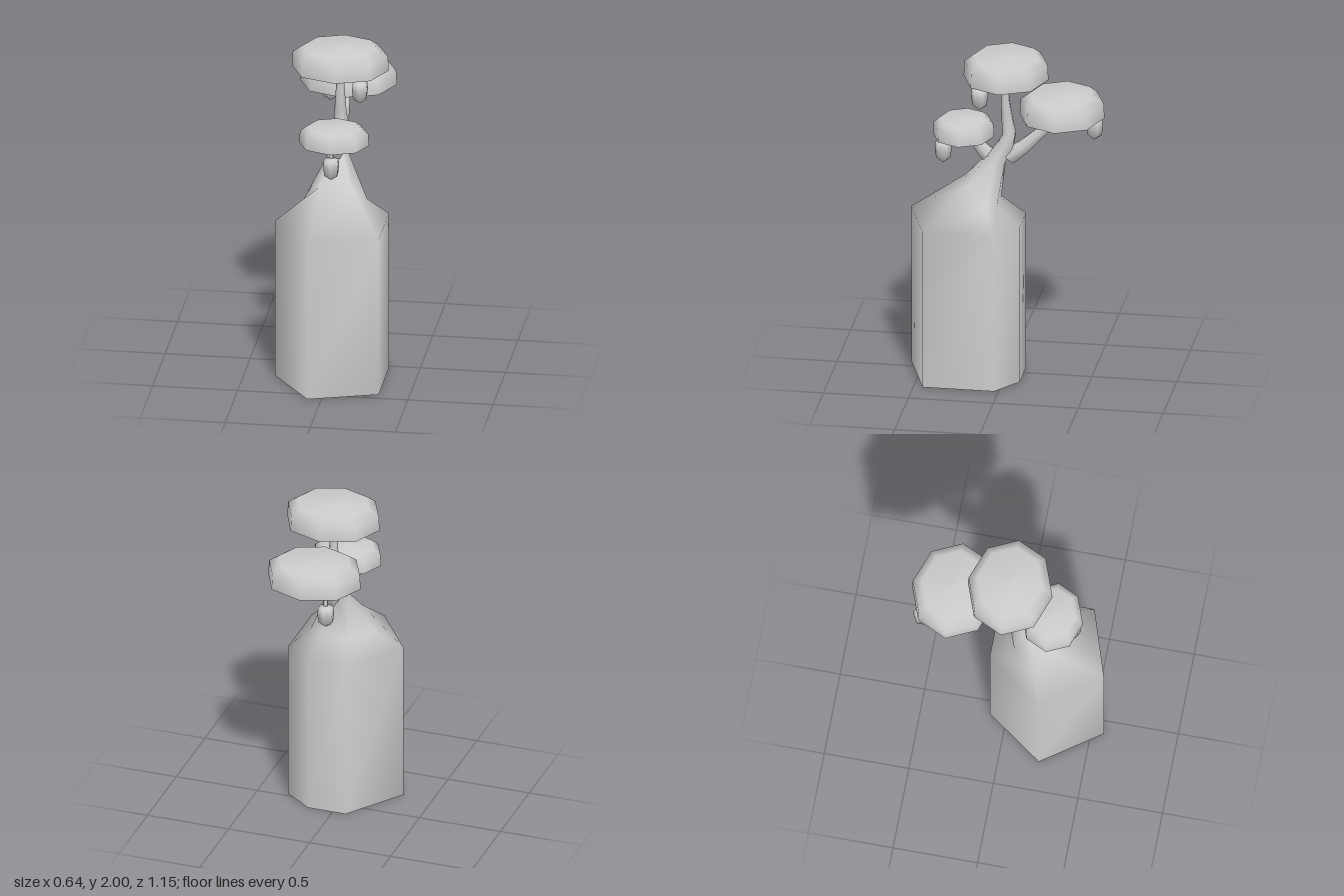
import * as THREE from 'three';

const material = new THREE.MeshStandardMaterial({ color: 0xcccccc, side: THREE.DoubleSide });

function addMesh(parent, geometry, name) {
  const mesh = new THREE.Mesh(geometry, material);
  mesh.name = name;
  parent.add(mesh);
  return mesh;
}

// Smooth skin through rings of equal point count, ordered counterclockwise from below
function loft(rings) {
  const n = rings[0].length;
  const index = [];
  for (let r = 0; r < rings.length - 1; r++) {
    for (let i = 0; i < n; i++) {
      const a = r * n + i, b = r * n + (i + 1) % n;
      index.push(a, b, b + n, a, b + n, a + n);
    }
  }
  const geometry = new THREE.BufferGeometry();
  geometry.setAttribute('position', new THREE.Float32BufferAttribute(rings.flat(2), 3));
  geometry.setIndex(index);
  geometry.computeVertexNormals();
  return geometry;
}

// Six-sided ring, lowered at the back by tilt
function ring(y, z, r, tilt = 0) {
  return Array.from({ length: 6 }, (_, i) => {
    const a = Math.PI + i * Math.PI / 3;
    const dz = -Math.sin(a) * r;
    return [0.03 + Math.cos(a) * r, y + dz * tilt, z + dz];
  });
}

// Tapering branch: points are [y, z, radius] in the middle plane
function branch(points, tilt) {
  return loft(points.map(([y, z, r]) => ring(y, z, r, tilt)));
}

// Low dome with eight sides, open underneath
function crown(parent, [x, y, z], rx, rz, h, name) {
  const profile = [[1, 0], [0.98, 0.62], [0.77, 0.9], [0, 1]].map(p => new THREE.Vector2(...p));
  const mesh = addMesh(parent, new THREE.LatheGeometry(profile, 8), name);
  mesh.scale.set(rx, h, rz);
  mesh.position.set(x, y, z);
}

// Lantern with pointed base hanging from a short rod; y is the underside of the crown
function lantern(parent, x, y, z, rodLength, name) {
  const group = new THREE.Group();
  group.name = name;
  group.position.set(x, y, z);
  const rod = addMesh(group, new THREE.CylinderGeometry(0.013, 0.013, rodLength + 0.04, 6), 'rod');
  rod.position.y = 0.02 - rodLength / 2;
  const profile = [[0, -0.14], [0.043, -0.108], [0.05, -0.05], [0.046, -0.012], [0, 0]]
    .map(p => new THREE.Vector2(...p));
  const body = addMesh(group, new THREE.LatheGeometry(profile, 6), 'lanternBody');
  body.position.y = -rodLength;
  parent.add(group);
}

export function createModel() {
  const model = new THREE.Group();
  model.name = 'lanternTree';

  // Broad six-cornered base narrowing into the leaning trunk
  const plan = [[-0.32, 0.235], [-0.08, 0.575], [0.32, 0.445], [0.32, 0.025], [0.15, -0.1], [-0.08, -0.1]];
  const baseRing = y => plan.map(([x, z]) => [x, y, z]);
  const shoulder = [
    [-0.165, 1.08, 0.18], [-0.06, 1.2, 0.25], [0.13, 1.19, 0.23],
    [0.2, 1.08, 0.09], [0.12, 1.08, 0.04], [-0.05, 1.08, 0.04],
  ];
  addMesh(model, loft([
    baseRing(0), baseRing(0.97), shoulder,
    ring(1.34, 0.06, 0.062, 0.4), ring(1.44, 0, 0.05, 0.3), ring(1.51, -0.02, 0.042),
    ring(1.6, -0.006, 0.035), ring(1.72, 0.005, 0.026), ring(1.88, -0.003, 0.018),
  ]), 'trunk');

  // Side branches
  addMesh(model, branch([[1.36, -0.01, 0.04], [1.425, -0.1, 0.032], [1.52, -0.2, 0.025], [1.65, -0.34, 0.014]], 1), 'backBranch');
  addMesh(model, branch([[1.33, 0.06, 0.04], [1.4, 0.14, 0.03], [1.5, 0.22, 0.02]], -1), 'frontBranch');

  // Crowns
  crown(model, [0.03, 1.855, 0], 0.285, 0.25, 0.145, 'topCrown');
  crown(model, [0.03, 1.635, -0.33], 0.285, 0.25, 0.145, 'backCrown');
  crown(model, [0.03, 1.48, 0.25], 0.205, 0.18, 0.115, 'frontCrown');

  // Hanging lanterns
  lantern(model, 0.165, 1.855, 0.135, 0.02, 'topLantern');
  lantern(model, -0.1, 1.635, -0.5, 0.05, 'backLantern');
  lantern(model, 0.03, 1.48, 0.37, 0.04, 'frontLantern');

  return model;
}
